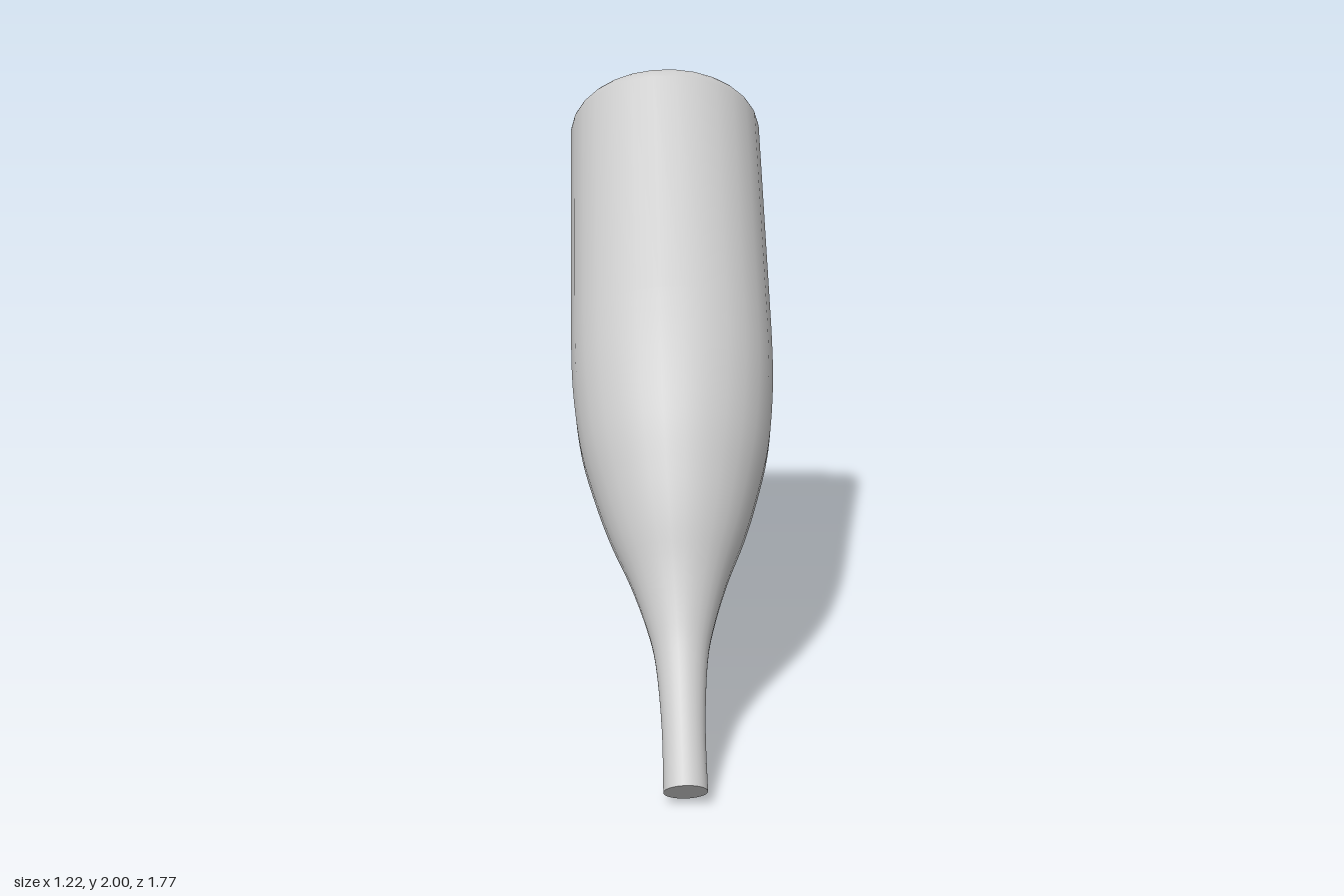
import * as THREE from 'three';

const SIDES = 28;
const LENGTH = 2.445;

// Flat disc across one end of the bottle
function disc(name, radius, y, up, material) {
  const geometry = new THREE.CircleGeometry(radius, SIDES);
  geometry.rotateX(up ? -Math.PI / 2 : Math.PI / 2);
  geometry.rotateY(Math.PI / 2);
  const mesh = new THREE.Mesh(geometry, material);
  mesh.name = name;
  mesh.position.y = y;
  return mesh;
}

export function createModel() {
  const group = new THREE.Group();
  group.name = 'bottle';
  const material = new THREE.MeshStandardMaterial({ color: 0xcccccc });

  // Neck and shoulder: radius against distance from the mouth
  const shoulder = new THREE.SplineCurve([
    [0.066, 0], [0.066, 0.2], [0.08, 0.4], [0.106, 0.52], [0.152, 0.66], [0.21, 0.8],
    [0.257, 0.94], [0.304, 1.12], [0.33, 1.34], [0.336, 1.54],
  ].map(([r, y]) => new THREE.Vector2(r, y)));
  const profile = shoulder.getPoints(36);

  // Straight wall, then the rounded rim of the base
  const rim = 0.058;
  for (let i = 0; i <= 6; i++) {
    const a = (i / 6) * Math.PI / 2;
    profile.push(new THREE.Vector2(
      0.336 - rim + rim * Math.cos(a),
      LENGTH - rim + rim * Math.sin(a),
    ));
  }
  const body = new THREE.Mesh(new THREE.LatheGeometry(profile, SIDES), material);
  body.name = 'body';

  group.add(
    body,
    disc('mouth', 0.066, 0, false, material),
    disc('base', 0.336 - rim, LENGTH, true, material),
  );

  // Tilt the whole bottle, mouth down and towards the front
  const axis = new THREE.Vector3(0.352, 0.715, -0.604).normalize();
  group.quaternion.setFromUnitVectors(new THREE.Vector3(0, 1, 0), axis);
  group.position.set(-0.548, 0.046, 0.835);

  const model = new THREE.Group();
  model.name = 'tiltedBottle';
  model.add(group);
  return model;
}
